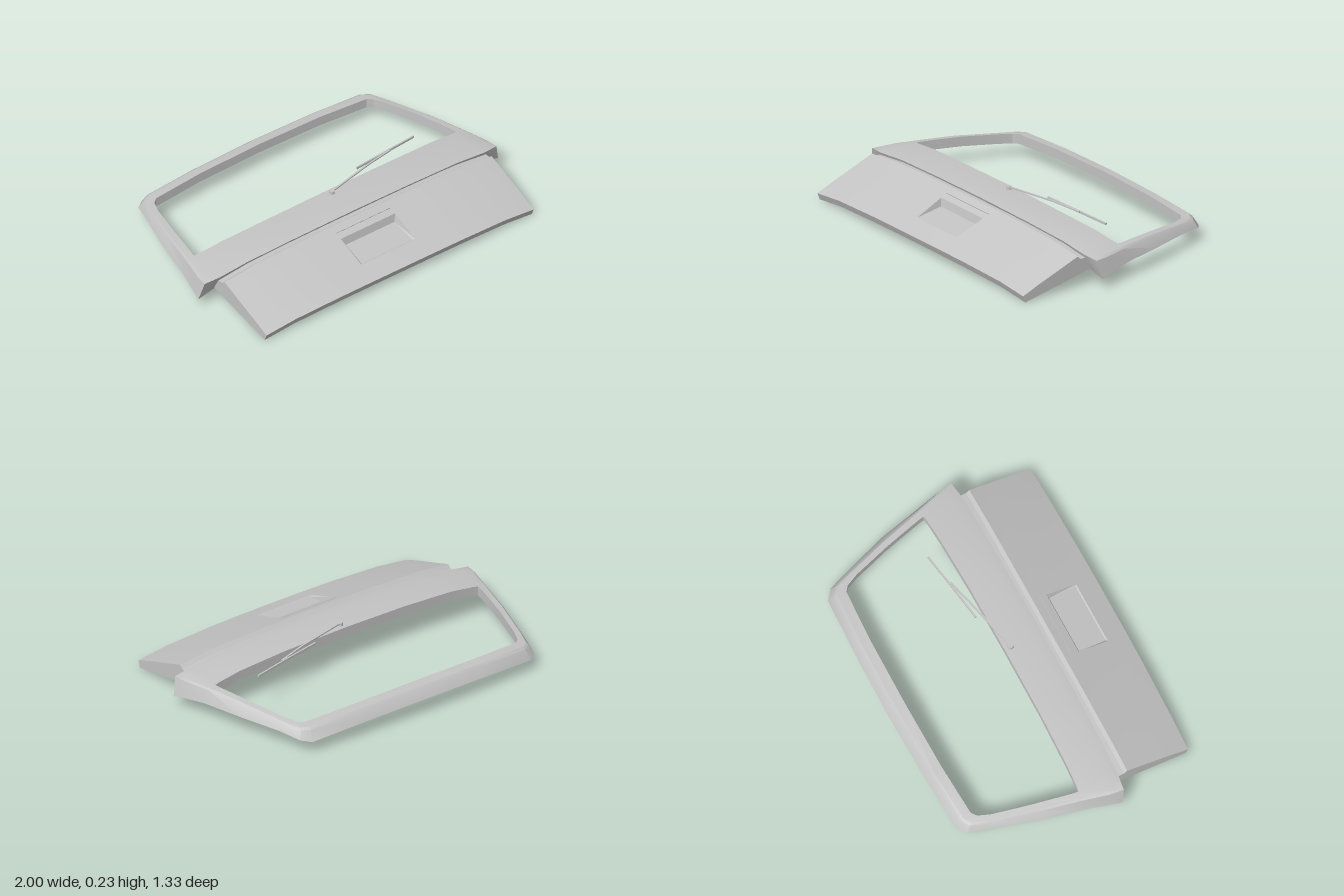
import * as THREE from 'three';
import { toCreasedNormals } from 'three/addons/utils/BufferGeometryUtils.js';

const metal = new THREE.MeshStandardMaterial({ color: 0xc4c4c4, side: THREE.DoubleSide });
metal.name = 'silver grey';

// Piecewise linear lookup through [key, value] pairs with rising keys
function lookup(table, k) {
  for (let i = 1; i < table.length; i++) {
    const [a, va] = table[i - 1], [b, vb] = table[i];
    if (k <= b || i === table.length - 1) return va + (vb - va) * (Math.max(k, a) - a) / (b - a);
  }
}

// Sideways crown of the door and its centre-line height
const drop = x => lookup([[0, 0], [0.4, 0.005], [0.7, 0.016], [0.89, 0.038], [1, 0.046]], Math.abs(x));
const ridge = z => lookup([[-0.665, 0.135], [-0.6, 0.155], [-0.53, 0.158], [-0.2, 0.2], [0.03, 0.215], [0.25, 0.22]], z);
const height = (x, z) => ridge(z) - drop(x);

function addMesh(parent, name, geometry) {
  const mesh = new THREE.Mesh(geometry, metal);
  mesh.name = name;
  parent.add(mesh);
  return mesh;
}

// Skin a row of closed cross-sections
function loft(sections, { ring = false, caps = false, skip = () => false } = {}) {
  const n = sections[0].length, pos = sections.flat(2), idx = [];
  const last = ring ? sections.length : sections.length - 1;
  for (let i = 0; i < last; i++) {
    for (let j = 0; j < n; j++) {
      if (skip(i, j)) continue;
      const k = (i + 1) % sections.length, m = (j + 1) % n;
      const a = i * n + j, b = i * n + m, c = k * n + m, d = k * n + j;
      idx.push(a, b, c, a, c, d);
    }
  }
  if (caps) {
    const e = last * n;
    for (let j = 0; j < n - 2; j++) idx.push(n - 1, j + 1, j, e + n - 1, e + j, e + j + 1);
  }
  const g = new THREE.BufferGeometry();
  g.setAttribute('position', new THREE.Float32BufferAttribute(pos, 3));
  g.setIndex(idx);
  return toCreasedNormals(g, 0.5);
}

// Window frame: outer shoulder x,z | outer hem x,z,y | opening x,z
function windowFrame() {
  const half = [
    [0, 0.25, 0, 0.215, 0.13, 0, 0.03],
    [0.4, 0.248, 0.4, 0.213, 0.125, 0.4, 0.028],
    [0.7, 0.243, 0.7, 0.208, 0.113, 0.7, 0.02],
    [0.88, 0.238, 0.885, 0.202, 0.088, 0.84, 0.013],
    [0.972, 0.226, 0.998, 0.205, 0.065, 0.872, 0.008],
    [0.962, 0.15, 0.985, 0.14, 0.08, 0.868, -0.02],
    [0.922, 0, 0.948, 0, 0.095, 0.85, -0.1],
    [0.868, -0.22, 0.896, -0.23, 0.1, 0.815, -0.25],
    [0.795, -0.48, 0.815, -0.48, 0.095, 0.76, -0.45],
    [0.757, -0.58, 0.775, -0.6, 0.08, 0.73, -0.52],
    [0.71, -0.61, 0.725, -0.64, 0.07, 0.7, -0.543],
    [0.4, -0.628, 0.4, -0.657, 0.085, 0.4, -0.56],
    [0, -0.635, 0, -0.665, 0.092, 0, -0.565],
  ];
  const section = ([sx, sz, hx, hz, hy, ix, iz]) => {
    const cx = ix + (sx - ix) * 0.75, cz = iz + (sz - iz) * 0.75;
    return [
      [ix, height(ix, iz) - 0.055, iz],
      [ix, height(ix, iz), iz],
      [cx, height(cx, cz), cz],
      [sx, height(sx, sz) - 0.008, sz],
      [hx, hy, hz],
    ];
  };
  const right = half.map(section);
  const left = right.slice(1, -1).reverse().map(s => s.map(([x, y, z]) => [-x, y, z]));
  return loft([...right, ...left], { ring: true });
}

// Lower panel profile as z, y on the centre line, top first then underside
const profile = [
  [0.24, 0.2], [0.27, 0.2], [0.29, 0.218], [0.375, 0.187],
  [0.55, 0.124], [0.665, 0.083], [0.65, 0.045], [0.2, 0.13],
];

function lowerPanel() {
  const xs = [-0.89, -0.7, -0.4, -0.18, 0.18, 0.4, 0.7, 0.89];
  const sections = xs.map(x => profile.map(([z, y]) => {
    const bow = z > 0.6 ? 0.013 * (x / 0.89) ** 2 : 0;
    return [x, y - drop(x), z - bow];
  }));
  // the middle face is left open for the plate recess
  return loft(sections, { caps: true, skip: (i, j) => i === 3 && j === 3 });
}

// Plate recess: sloping walls around a flatter floor
function plateRecess() {
  const d = drop(0.18);
  const rim = [[-0.18, 0.187 - d, 0.375], [-0.18, 0.124 - d, 0.55], [0.18, 0.124 - d, 0.55], [0.18, 0.187 - d, 0.375]];
  const floor = [[-0.17, 0.14, 0.385], [-0.17, 0.116, 0.542], [0.17, 0.116, 0.542], [0.17, 0.14, 0.385]];
  const idx = [4, 5, 6, 4, 6, 7];
  for (let i = 0; i < 4; i++) {
    const k = (i + 1) % 4;
    idx.push(i, k, k + 4, i, k + 4, i + 4);
  }
  const g = new THREE.BufferGeometry();
  g.setAttribute('position', new THREE.Float32BufferAttribute([...rim, ...floor].flat(), 3));
  g.setIndex(idx);
  return toCreasedNormals(g, 0.3);
}

// Straight bar between two points
function addBar(parent, name, a, b, width, thick) {
  const from = new THREE.Vector3(...a), to = new THREE.Vector3(...b);
  const bar = addMesh(parent, name, new THREE.BoxGeometry(width, thick, from.distanceTo(to)));
  bar.position.copy(from).lerp(to, 0.5);
  bar.lookAt(to);
}

export function createModel() {
  const model = new THREE.Group();
  model.name = 'tailgate';
  addMesh(model, 'windowFrame', windowFrame());
  addMesh(model, 'lowerPanel', lowerPanel());
  addMesh(model, 'plateRecess', plateRecess());

  // Thin trim strip above the recess
  const strip = addMesh(model, 'trimStrip', new THREE.BoxGeometry(0.36, 0.006, 0.006));
  strip.position.set(0, 0.2, 0.335);
  strip.rotation.x = 0.345;

  // Rear wiper
  const wiper = new THREE.Group();
  wiper.name = 'wiper';
  const pivot = addMesh(wiper, 'wiperPivot', new THREE.CylinderGeometry(0.014, 0.016, 0.024, 16));
  pivot.position.set(0, 0.221, 0.065);
  const arm = [[0, 0.228, 0.065], [0.3, 0.226, -0.005], [0.47, 0.212, -0.045]];
  const blade = [[0.23, 0.222, -0.02], [0.44, 0.21, -0.048], [0.655, 0.195, -0.08]];
  for (let i = 0; i < 2; i++) {
    addBar(wiper, 'wiperArm', arm[i], arm[i + 1], 0.01, 0.007);
    addBar(wiper, 'wiperBlade', blade[i], blade[i + 1], 0.009, 0.012);
  }
  model.add(wiper);
  return model;
}
